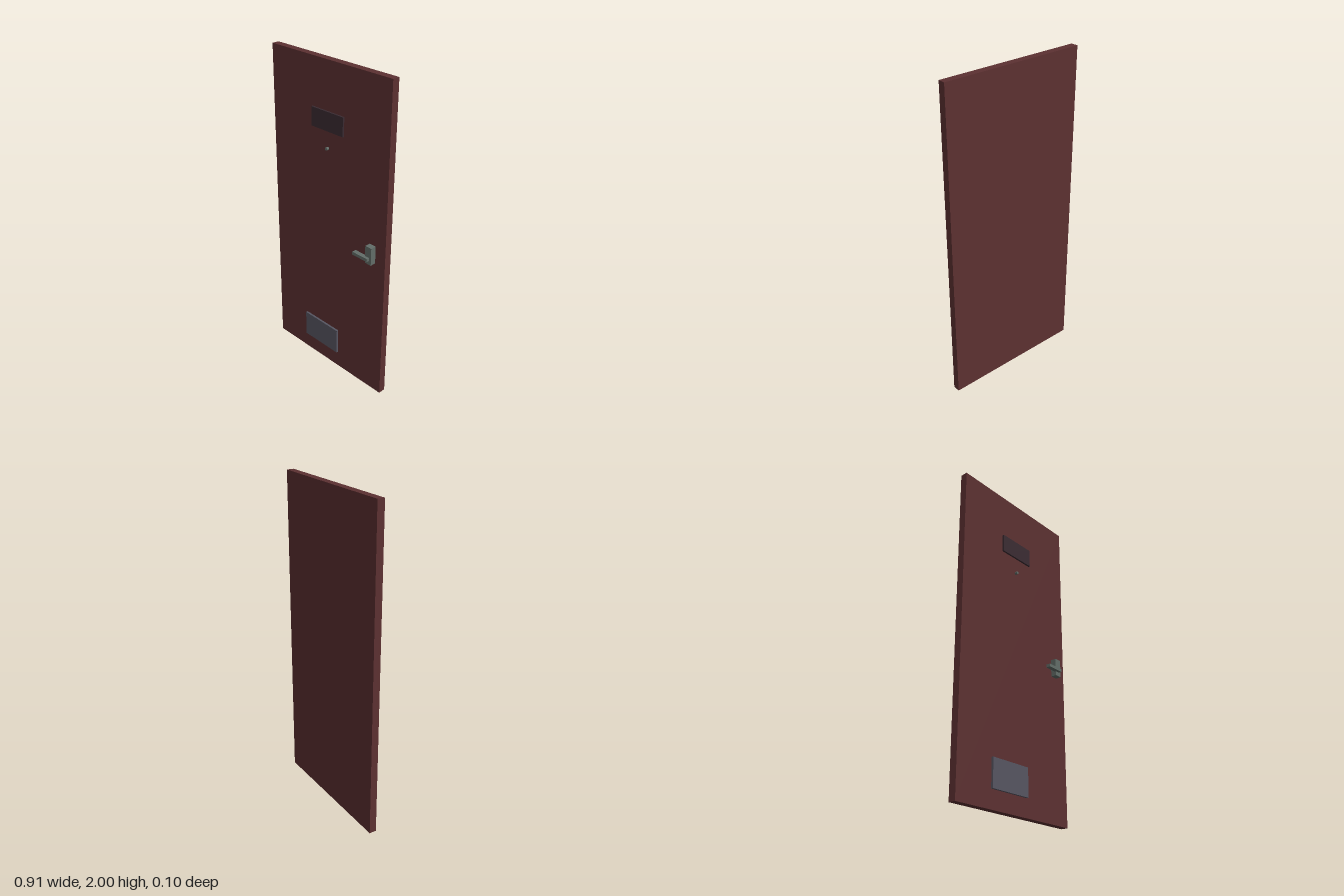
import * as THREE from 'three';

const material = (color) => new THREE.MeshStandardMaterial({ color, flatShading: true });

// Adds a box given its extents along each axis
function addBox(parent, name, [x0, x1], [y0, y1], [z0, z1], mat) {
  const mesh = new THREE.Mesh(new THREE.BoxGeometry(x1 - x0, y1 - y0, z1 - z0), mat);
  mesh.position.set((x0 + x1) / 2, (y0 + y1) / 2, (z0 + z1) / 2);
  mesh.name = name;
  parent.add(mesh);
  return mesh;
}

export function createModel() {
  const door = new THREE.Group();
  door.name = 'door';
  const metal = material(0x626d68);
  const face = -0.005; // front surface of the door leaf

  // Door leaf
  addBox(door, 'doorLeaf', [-0.456, 0.456], [0, 2], [-0.05, face], material(0x5c3031));

  // Blank sign plate and low panel
  addBox(door, 'signPlate', [-0.125, 0.123], [1.6, 1.714], [face, 0.006], material(0x3a2b32));
  addBox(door, 'lowerPanel', [-0.196, 0.091], [0.11, 0.28], [face, 0.008], material(0x565561));

  // Peephole
  const peephole = new THREE.Mesh(new THREE.CylinderGeometry(0.009, 0.009, 0.017, 8), metal);
  peephole.rotation.x = Math.PI / 2;
  peephole.position.set(-0.002, 1.495, 0.0035);
  peephole.name = 'peephole';
  door.add(peephole);

  // Handle: mounting block with a lever pointing inwards
  const handle = new THREE.Group();
  handle.name = 'handle';
  addBox(handle, 'handleBlock', [0.336, 0.382], [0.91, 1.02], [face, 0.031], metal);
  addBox(handle, 'handleLever', [0.253, 0.368], [0.936, 0.955], [0.022, 0.05], metal);
  door.add(handle);

  return door;
}
